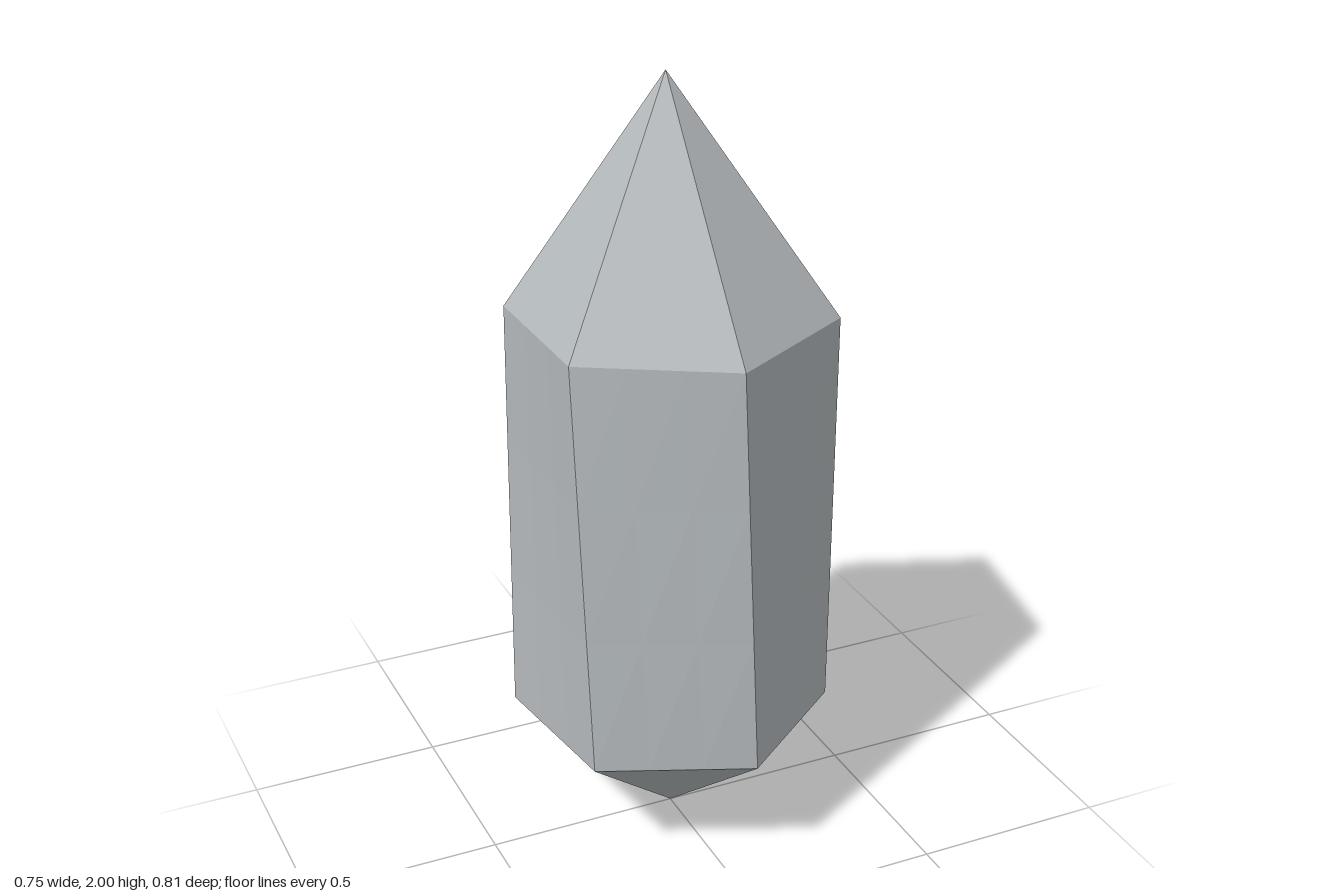
import * as THREE from 'three';

// Ring corners as [x, z], running from the front towards +x; the lower ring is slightly twisted
const TOP_Y = 1.41, BOTTOM_Y = 0.33;
const topRing = [[0.003, 0.405], [0.353, 0.204], [0.354, -0.2], [0, -0.408], [-0.352, -0.2], [-0.347, 0.205]]
  .map(([x, z]) => new THREE.Vector3(x, TOP_Y, z));
const bottomRing = [[0.054, 0.403], [0.374, 0.158], [0.328, -0.243], [-0.049, -0.406], [-0.375, -0.154], [-0.318, 0.248]]
  .map(([x, z]) => new THREE.Vector3(x, BOTTOM_Y, z));
const tip = new THREE.Vector3(-0.003, 2, -0.02);
const foot = new THREE.Vector3(0, 0, 0);

// Unshared triangles keep every facet flat
function facets(points) {
  const geometry = new THREE.BufferGeometry().setFromPoints(points);
  geometry.computeVertexNormals();
  return geometry;
}

export function createModel() {
  const group = new THREE.Group();
  group.name = 'crystal';
  const stone = new THREE.MeshStandardMaterial({ color: 0xb5babd });
  stone.name = 'pale grey stone';
  const add = (name, points) => {
    const mesh = new THREE.Mesh(facets(points), stone);
    mesh.name = name;
    group.add(mesh);
  };

  const upper = [], lower = [], sides = [];
  const steps = 3;
  for (let i = 0; i < 6; i++) {
    const j = (i + 1) % 6;
    upper.push(topRing[i], topRing[j], tip);
    lower.push(bottomRing[j], bottomRing[i], foot);

    // Each gently twisted side is a small grid between the two rings
    const at = (u, v) => bottomRing[i].clone().lerp(bottomRing[j], u / steps)
      .lerp(topRing[i].clone().lerp(topRing[j], u / steps), v / steps);
    for (let u = 0; u < steps; u++) {
      for (let v = 0; v < steps; v++) {
        const a = at(u, v), b = at(u + 1, v), c = at(u + 1, v + 1), d = at(u, v + 1);
        sides.push(a, b, c, a, c, d);
      }
    }
  }
  add('upperPoint', upper);
  add('shaft', sides);
  add('lowerPoint', lower);
  return group;
}
